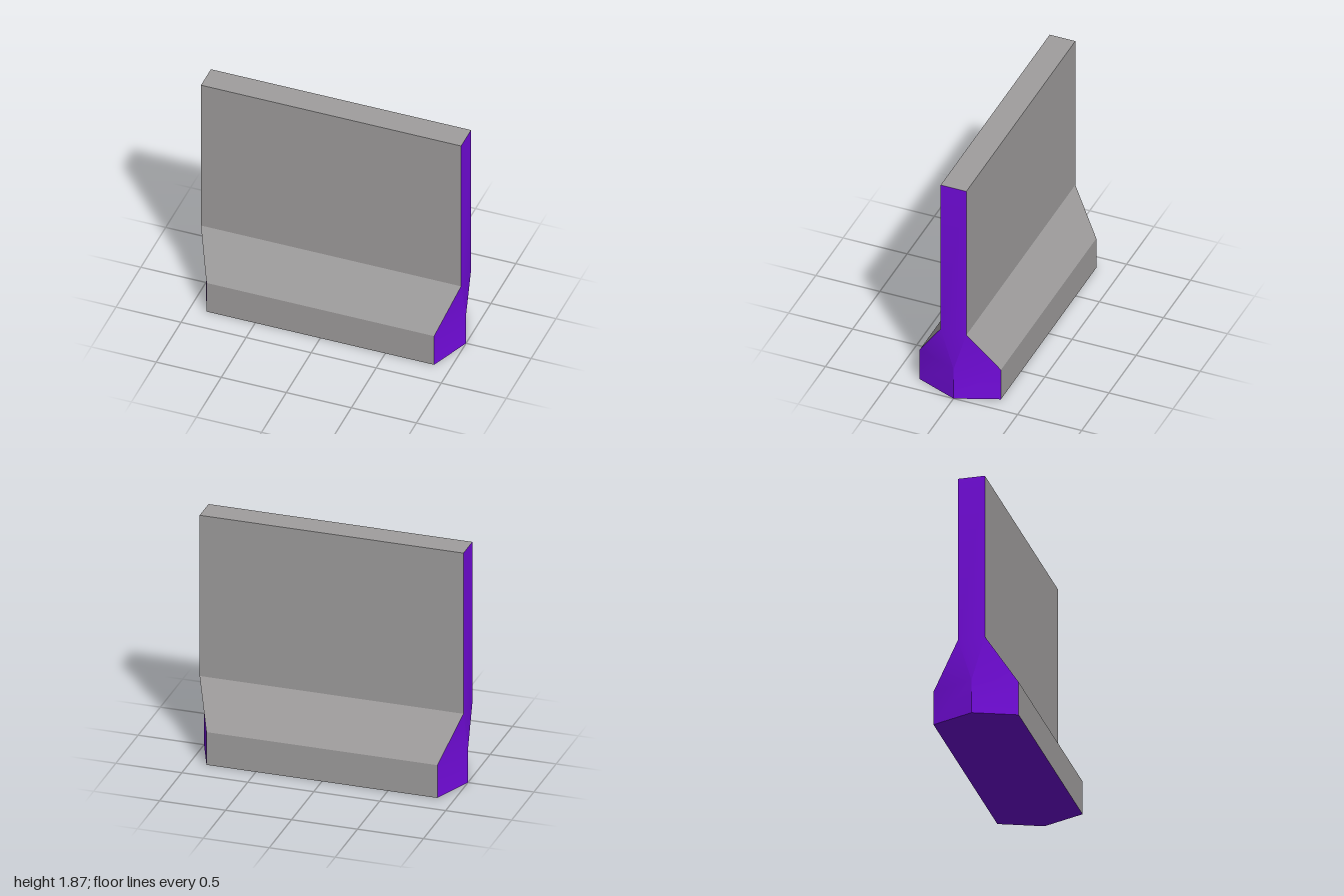
import * as THREE from 'three';
import { toCreasedNormals } from 'three/addons/utils/BufferGeometryUtils.js';

const concrete = new THREE.MeshStandardMaterial({ color: 0xa09e9e });
concrete.name = 'concrete grey';
const purple = new THREE.MeshStandardMaterial({ color: 0x750ce0 });
purple.name = 'joint purple';

// Heights, half lengths and half depths of the wall section
const TOP = 1.865, NECK = 0.59, FOOT = 0.26;
const LONG = 1, SHORT = 0.875, THIN = 0.1, WIDE = 0.317;

// Convex polygons (counter-clockwise from outside) to a mesh
function polyMesh(name, faces, material) {
  const pos = [];
  for (const f of faces)
    for (let i = 1; i < f.length - 1; i++) pos.push(...f[0], ...f[i], ...f[i + 1]);
  let geo = new THREE.BufferGeometry();
  geo.setAttribute('position', new THREE.Float32BufferAttribute(pos, 3));
  geo.computeVertexNormals();
  geo = toCreasedNormals(geo, 0.4);
  const mesh = new THREE.Mesh(geo, material);
  mesh.name = name;
  return mesh;
}

export function createModel() {
  const model = new THREE.Group();
  model.name = 'barrierWall';

  // Profile of one side, from the ground up: half length, height, depth
  const profile = [[SHORT, 0, WIDE], [SHORT, FOOT, WIDE], [LONG, NECK, THIN], [LONG, TOP, THIN]];
  const names = ['foot', 'slope', 'panel'];

  // Front and back are the same, turned half round; so are the two ends
  for (const [side, end, turn] of [['front', 'left', 0], ['back', 'right', Math.PI]]) {
    const half = new THREE.Group();
    half.name = side + 'Half';
    half.rotation.y = turn;

    names.forEach((name, i) => {
      const [xa, ya, za] = profile[i], [xb, yb, zb] = profile[i + 1];
      half.add(polyMesh(side + name[0].toUpperCase() + name.slice(1),
        [[[-xa, ya, za], [xa, ya, za], [xb, yb, zb], [-xb, yb, zb]]], concrete));
    });

    // End face: flat strip above, flaring down to a pointed foot
    const tip = [LONG, 0, 0], mid = [LONG, FOOT, 0];
    const neckF = [LONG, NECK, THIN], neckB = [LONG, NECK, -THIN];
    const footF = [SHORT, FOOT, WIDE], footB = [SHORT, FOOT, -WIDE];
    half.add(polyMesh(end + 'End', [
      [neckF, neckB, [LONG, TOP, -THIN], [LONG, TOP, THIN]],
      [neckF, mid, neckB],
      [neckF, footF, mid],
      [neckB, mid, footB],
      [[SHORT, 0, WIDE], tip, mid, footF],
      [tip, [SHORT, 0, -WIDE], footB, mid],
    ], purple));
    model.add(half);
  }

  // Top edge
  model.add(polyMesh('topEdge', [[
    [-LONG, TOP, THIN], [LONG, TOP, THIN], [LONG, TOP, -THIN], [-LONG, TOP, -THIN],
  ]], concrete));

  // Six-sided underside
  model.add(polyMesh('underside', [[
    [-LONG, 0, 0], [-SHORT, 0, -WIDE], [SHORT, 0, -WIDE],
    [LONG, 0, 0], [SHORT, 0, WIDE], [-SHORT, 0, WIDE],
  ]], purple));

  return model;
}
